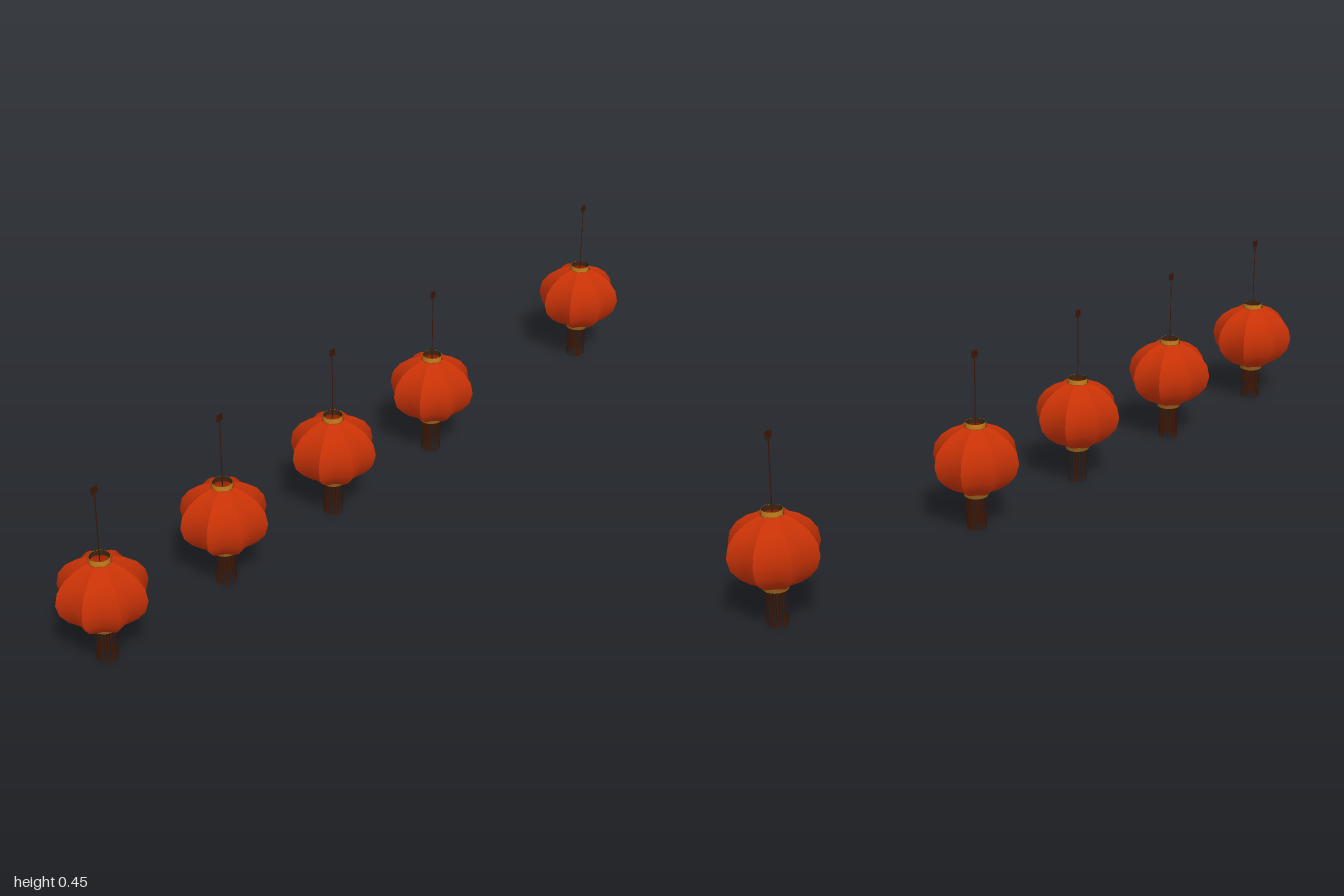
import * as THREE from 'three';

const mat = (name, color) => {
  const m = new THREE.MeshStandardMaterial({ color, side: THREE.DoubleSide });
  m.name = name;
  return m;
};

// Profile of the ribbed shade: [height, rib radius, valley radius]
const PROFILE = [
  [0.093, 0.031, 0.027], [0.105, 0.058, 0.048], [0.122, 0.081, 0.067],
  [0.145, 0.100, 0.082], [0.175, 0.108, 0.088], [0.205, 0.102, 0.084],
  [0.230, 0.084, 0.069], [0.249, 0.058, 0.048], [0.261, 0.029, 0.025],
];
const RIBS = 8;

// One gore from rib to rib, folded inwards along its middle
function goreGeometry() {
  const pos = [], index = [];
  const half = Math.PI / RIBS;
  for (const [y, rib, valley] of PROFILE) {
    for (const [a, r] of [[-half, rib], [0, valley], [half, rib]]) {
      pos.push(Math.sin(a) * r, y, Math.cos(a) * r);
    }
  }
  for (let i = 0; i < PROFILE.length - 1; i++) {
    for (let j = 0; j < 2; j++) {
      const a = i * 3 + j, b = a + 1, c = a + 3, d = c + 1;
      index.push(a, b, d, a, d, c);
    }
  }
  const g = new THREE.BufferGeometry();
  g.setAttribute('position', new THREE.Float32BufferAttribute(pos, 3));
  g.setIndex(index);
  g.computeVertexNormals();
  return g;
}

// Open round collar
function ringGeometry(radius, y0, y1) {
  const g = new THREE.CylinderGeometry(radius, radius, y1 - y0, 16, 1, true);
  return g.translate(0, (y0 + y1) / 2, 0);
}

export function createModel() {
  const red = mat('red paper', 0xc83206);
  const gold = mat('gold', 0xc4801c);
  const bronze = mat('bronze', 0x8a581a);
  const shadowBrown = mat('inner brown', 0x3c2410);
  const fringe = mat('dark red brown', 0x3a1606);

  const gore = goreGeometry();
  const topRing = ringGeometry(0.0235, 0.258, 0.271);
  const liner = ringGeometry(0.0230, 0.258, 0.2708);
  const shoulderRing = ringGeometry(0.0285, 0.256, 0.2615);
  const bottomRing = ringGeometry(0.0295, 0.084, 0.095);
  const strip = new THREE.PlaneGeometry(0.0036, 0.088).translate(0, 0.044, 0.0245);
  const cord = new THREE.PlaneGeometry(0.0035, 0.178).translate(0, 0.347, 0);
  const tag = new THREE.PlaneGeometry(0.02, 0.018).translate(0, 0.439, 0);

  function add(parent, name, geometry, material, angle = 0) {
    const mesh = new THREE.Mesh(geometry, material);
    mesh.name = name;
    mesh.rotation.y = angle;
    parent.add(mesh);
  }

  function lantern(x) {
    const g = new THREE.Group();
    g.name = 'lantern';
    g.position.x = x;
    for (let i = 0; i < RIBS; i++) add(g, 'shadeGore', gore, red, (i * Math.PI * 2) / RIBS);
    // Collars above and below the shade
    add(g, 'topRing', topRing, gold);
    add(g, 'topRingLiner', liner, shadowBrown);
    add(g, 'shoulderRing', shoulderRing, bronze);
    add(g, 'bottomRing', bottomRing, bronze);
    // Tassel strips hanging in a circle
    const strips = 23;
    for (let i = 0; i < strips; i++) add(g, 'tasselStrip', strip, fringe, (i * Math.PI * 2) / strips);
    // Flat cord and hanging tag
    add(g, 'cord', cord, fringe);
    add(g, 'hangingTag', tag, fringe);
    return g;
  }

  const model = new THREE.Group();
  model.name = 'lanternRow';
  for (const x of [-0.9, -0.517, -0.133, 0.25, 0.9]) model.add(lantern(x));
  return model;
}
